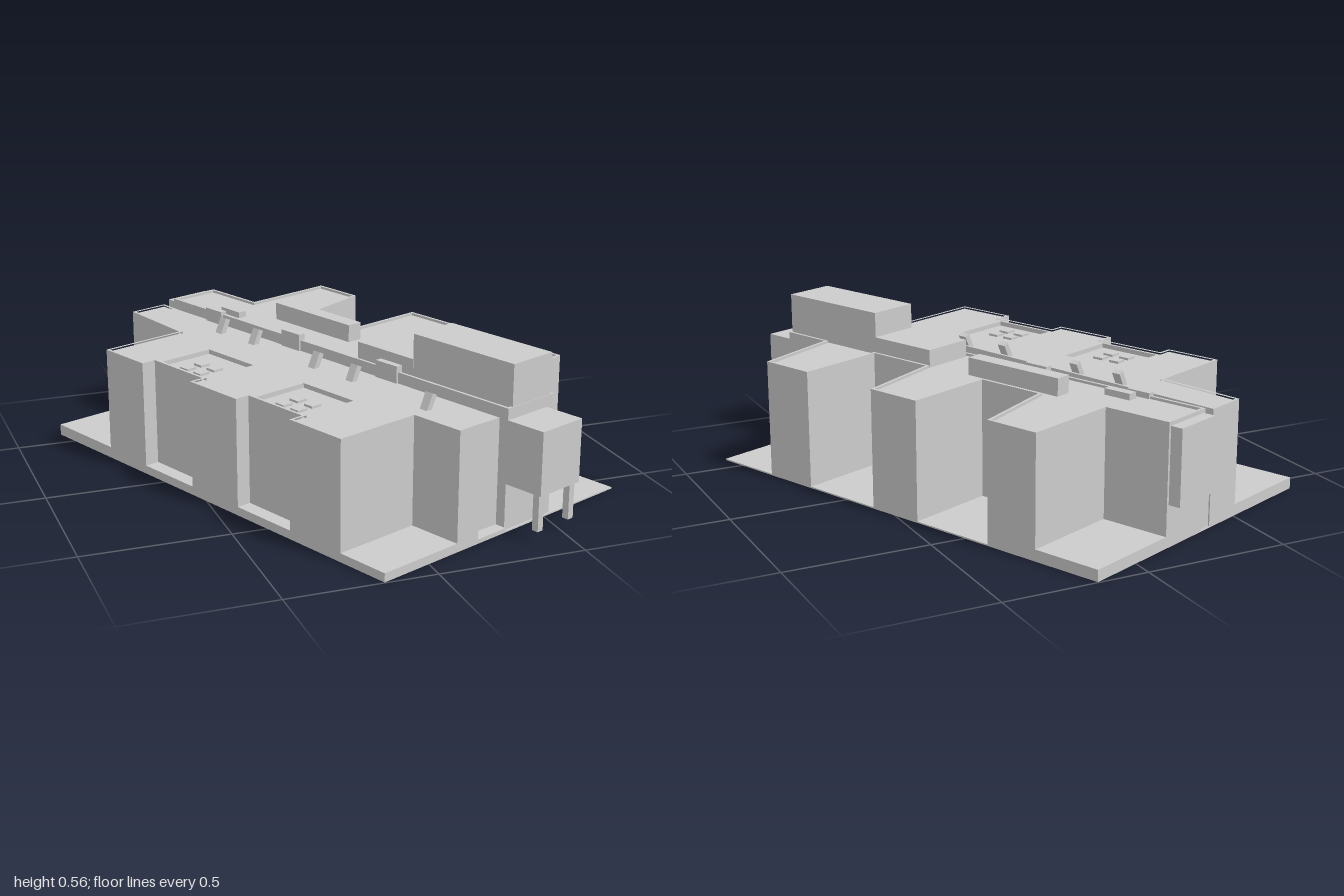
import * as THREE from 'three';

const material = new THREE.MeshStandardMaterial({ color: 0xcccccc, flatShading: true });

const toShape = (pts) => new THREE.Shape(pts.map(([x, z]) => new THREE.Vector2(x, z)));

// Shrinks a plan outline evenly by distance d
function inset(pts, d) {
  const v = pts.map(([x, z]) => new THREE.Vector2(x, z));
  const side = THREE.ShapeUtils.area(v) > 0 ? 1 : -1;
  const normal = (a, b) => {
    const e = b.clone().sub(a).normalize();
    return new THREE.Vector2(-e.y, e.x).multiplyScalar(side);
  };
  return v.map((p, i) => {
    const n1 = normal(v[(i + v.length - 1) % v.length], p);
    const n2 = normal(p, v[(i + 1) % v.length]);
    const m = n1.clone().add(n2).multiplyScalar(d / (1 + n1.dot(n2)));
    return [p.x + m.x, p.y + m.y];
  });
}

const rect = (x0, x1, z0, z1) => [[x0, z0], [x1, z0], [x1, z1], [x0, z1]];

export function createModel() {
  const root = new THREE.Group();
  root.name = 'buildingComplex';
  const site = new THREE.Group();
  site.name = 'site';
  site.rotation.y = 0.391;
  root.add(site);

  const add = (name, geometry) => {
    const mesh = new THREE.Mesh(geometry, material);
    mesh.name = name;
    site.add(mesh);
    return mesh;
  };

  // Plan outline raised from y0 to y1, with optional openings
  const slab = (name, pts, y0, y1, holes = []) => {
    const shape = toShape(pts);
    holes.forEach((h) => shape.holes.push(new THREE.Path(toShape(h).getPoints())));
    const g = new THREE.ExtrudeGeometry(shape, { depth: y1 - y0, bevelEnabled: false });
    g.rotateX(Math.PI / 2);
    g.translate(0, y1, 0);
    return add(name, g);
  };
  const block = (name, x0, x1, z0, z1, y0, y1) => slab(name, rect(x0, x1, z0, z1), y0, y1);

  // Ground plate and raised terraces
  const W = 0.543, L = 0.855, G = 0.005;
  block('groundPlate', -W, W, -L, L, 0, G);
  block('backLeftTerrace', -W, -0.19, -L, -0.53, G, 0.04);
  block('backRightTerrace', 0.19, W, -L, -0.605, G, 0.04);
  block('frontTerrace', -W, -0.22, 0.655, L, G, 0.03);
  block('frontStep', -0.14, 0, 0.8, L, G, 0.015);

  // West half: two shallow notches and two sunken roof courts
  const notches = [[-0.328, -0.068], [0.17, 0.428]];
  const west = [[-0.047, -L], [-0.195, -L], [-0.223, -0.537], [-W, -0.537]];
  notches.forEach(([a, b]) => west.push([-W, a], [-0.491, a], [-0.491, b], [-W, b]));
  west.push([-W, 0.661], [-0.229, 0.661], [-0.227, L], [-0.131, L]);
  const courts = notches.map(([a, b]) => rect(-0.48, -0.26, a + 0.01, b - 0.01));
  slab('westWalls', west, G, 0.38);
  slab('westRoof', west, 0.38, 0.396, courts);
  slab('westParapet', west, 0.396, 0.405, [inset(west, 0.01)]);

  notches.forEach(([a, b]) => {
    block('notchTerrace', -W, -0.485, a, b, G, 0.03);
    // Skylights in each court
    for (const x of [-0.42, -0.36]) {
      for (const z of [-0.035, 0.035]) {
        const c = (a + b) / 2 + z;
        block('skylight', x - 0.02, x + 0.02, c - 0.02, c + 0.02, 0.375, 0.388);
      }
    }
  });

  // East half: wings separated by slanted courtyards
  const east = [
    [0, -L], [0.195, -L], [0.197, -0.61], [W, -0.61],
    [W, -0.414], [0.221, -0.352], [0.221, -0.108], [W, -0.108],
    [W, 0.095], [0.221, 0.152], [0.221, 0.401], [W, 0.401],
    [W, 0.604], [0.221, 0.658], [0.219, 0.848], [0, 0.848],
  ];
  slab('eastWalls', east, G, 0.41);
  slab('eastParapet', east, 0.41, 0.419, [inset(east, 0.01)]);

  // Tapering central corridor between the halves
  slab('corridor', [[-0.047, -0.85], [0, -0.85], [0, 0.813], [-0.129, 0.808]], G, 0.38);

  // Rooftop plant rooms and ducts
  block('tallPlantRoom', 0.022, 0.205, 0.409, 0.846, 0.4, 0.56);
  block('lowPlantRoom', 0.021, 0.207, 0.145, 0.409, 0.4, 0.472);
  block('longDuct', 0.13, 0.187, -0.406, -0.016, 0.4, 0.472);
  block('roofUnit', -0.009, 0.015, -0.647, -0.557, 0.38, 0.43);
  block('roofUnit', 0.034, 0.068, -0.608, -0.505, 0.4, 0.432);
  block('roofUnit', -0.007, 0.02, -0.22, -0.127, 0.38, 0.44);
  block('roofUnit', -0.006, 0.018, 0.26, 0.36, 0.38, 0.44);

  // Leaning vents along the corridor edge
  for (const [x, z] of [[-0.091, -0.448], [-0.091, -0.265], [-0.113, 0.078], [-0.115, 0.266], [-0.136, 0.631]]) {
    const vent = add('leaningVent', new THREE.BoxGeometry(0.02, 0.06, 0.032));
    vent.position.set(x, 0.418, z);
    vent.rotation.z = -0.45;
  }

  // Projecting bay at the back, entrance box on posts at the front
  block('backBay', 0.008, 0.186, -0.898, -0.85, 0.145, 0.405);
  block('entranceBox', 0, 0.186, 0.84, 0.993, 0.165, 0.38);
  for (const x of [0.018, 0.166]) block('entrancePost', x - 0.012, x + 0.012, 0.958, 0.982, 0.04, 0.17);

  return root;
}
